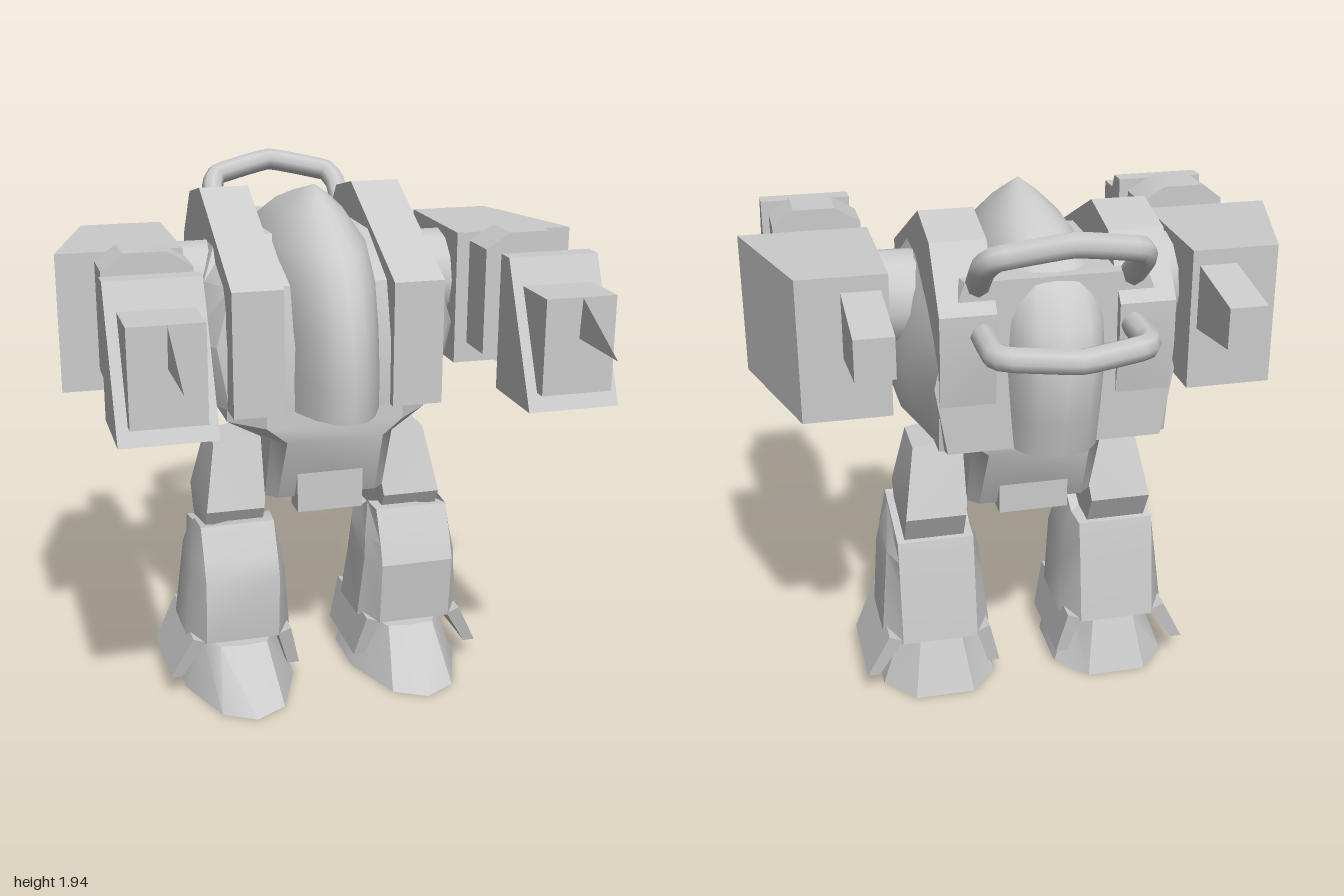
import * as THREE from 'three';
import { toCreasedNormals } from 'three/addons/utils/BufferGeometryUtils.js';

const material = new THREE.MeshStandardMaterial({ color: 0xcccccc });
const thinMaterial = new THREE.MeshStandardMaterial({ color: 0xcccccc, side: THREE.DoubleSide });

// Swap two corners of every triangle of a non-indexed geometry
function flip(pos) {
  for (let i = 0; i < pos.length; i += 9) {
    for (let k = 0; k < 3; k++) [pos[i + 3 + k], pos[i + 6 + k]] = [pos[i + 6 + k], pos[i + 3 + k]];
  }
}

// Closed solid through rings of [x, y, z] points, always facing outwards
function loft(rings, crease = 0.3) {
  const pos = [], n = rings[0].length;
  const tri = (a, b, c) => pos.push(...a, ...b, ...c);
  for (let r = 0; r < rings.length - 1; r++) {
    for (let i = 0; i < n; i++) {
      const j = (i + 1) % n, a = rings[r], b = rings[r + 1];
      tri(a[i], b[i], b[j]);
      tri(a[i], b[j], a[j]);
    }
  }
  const first = rings[0], last = rings[rings.length - 1];
  for (let i = 1; i < n - 1; i++) {
    tri(first[0], first[i], first[i + 1]);
    tri(last[0], last[i + 1], last[i]);
  }
  let volume = 0;
  for (let i = 0; i < pos.length; i += 9) {
    const [a, b, c] = [0, 3, 6].map(o => new THREE.Vector3().fromArray(pos, i + o));
    volume += a.dot(b.cross(c));
  }
  if (volume < 0) flip(pos);
  const geo = new THREE.BufferGeometry();
  geo.setAttribute('position', new THREE.Float32BufferAttribute(pos, 3));
  return toCreasedNormals(geo, crease);
}

function mirrorX(geo) {
  const g = geo.index ? geo.toNonIndexed() : geo.clone();
  g.scale(-1, 1, 1);
  for (const name of ['position', 'normal']) flip(g.attributes[name].array);
  if (geo.index) g.computeVertexNormals();
  return toCreasedNormals(g, 0.6);
}

const box = (x0, x1, y0, y1, z0, z1) =>
  new THREE.BoxGeometry(x1 - x0, y1 - y0, z1 - z0).translate((x0 + x1) / 2, (y0 + y1) / 2, (z0 + z1) / 2);
const rectY = (y, x0, x1, z0, z1) => [[x0, y, z0], [x1, y, z0], [x1, y, z1], [x0, y, z1]];
const rectZ = (z, x0, x1, y0, y1) => [[x0, y0, z], [x1, y0, z], [x1, y1, z], [x0, y1, z]];
// Side profile of [z, y] points stretched between two x positions
const sideProfile = (x0, x1, pts) => loft([x0, x1].map(x => pts.map(([z, y]) => [x, y, z])));

export function createModel() {
  const model = new THREE.Group();
  const add = (name, geo, mat = material) => {
    const mesh = new THREE.Mesh(geo, mat);
    mesh.name = name;
    model.add(mesh);
  };
  const addPair = (name, geo, mat = material) => {
    add(name + 'Left', geo, mat);
    add(name + 'Right', mirrorX(geo), mat);
  };

  // Central pod: [y, half width, front z, back z], pointed nose, full rear
  const podLevels = [
    [1.155, 0.21, 0.41, -0.76], [1.28, 0.21, 0.42, -0.79], [1.45, 0.21, 0.4, -0.82], [1.6, 0.21, 0.34, -0.78],
    [1.72, 0.185, 0.24, -0.67], [1.82, 0.115, 0.07, -0.45], [1.87, 0.06, -0.03, -0.28], [1.91, 0.003, -0.105, -0.115],
  ];
  add('pod', loft(podLevels.map(([y, w, zf, zb]) => {
    const mid = zb + (zf - zb) * 0.47;
    return Array.from({ length: 24 }, (_, i) => {
      const a = (i / 24) * Math.PI * 2, c = Math.cos(a);
      const half = Math.pow(Math.abs(Math.sin(a)), c > 0 ? 1.0 : 0.7);
      return [Math.sign(Math.sin(a)) * w * half, y, mid + (c > 0 ? (zf - mid) : (mid - zb)) * c];
    });
  }), 0.9));

  // Bulging hull behind the shoulder bands: [y, width factor, front limit]
  const plan = [[0.26, 0.2], [0.42, 0.13], [0.5, 0], [0.5, -0.25], [0.46, -0.4], [0.4, -0.66]];
  const hullRing = [...plan, ...plan.map(([x, z]) => [-x, z]).reverse()];
  add('hull', loft([[1.155, 0.9, 0.2], [1.39, 1, 0.2], [1.6, 0.87, 0.14], [1.74, 0.74, -0.1]].map(
    ([y, f, zMax]) => hullRing.map(([x, z]) => [x * f, y, Math.min(z, zMax)])), 0.6));

  // Raised shoulder bands
  addPair('shoulderBand', sideProfile(0.2, 0.385, [
    [0.235, 1.155], [0.235, 1.61], [-0.325, 1.88], [-0.53, 1.835], [-0.69, 1.64], [-0.69, 1.49], [-0.63, 1.155]]));

  // Rear handles
  const handle = half => {
    const pts = [...half, ...half.slice(0, -1).reverse().map(([x, y, z]) => [-x, y, z])];
    const curve = new THREE.CatmullRomCurve3(pts.map(p => new THREE.Vector3(...p)), false, 'catmullrom', 0.15);
    return new THREE.TubeGeometry(curve, 32, 0.042, 8);
  };
  add('upperHandle', handle([[0.25, 1.66, -0.56], [0.255, 1.81, -0.74], [0.225, 1.855, -0.79], [0, 1.9, -0.845]]));
  add('lowerHandle', handle([[0.245, 1.57, -0.58], [0.245, 1.57, -0.84], [0.215, 1.57, -0.89], [0, 1.57, -0.957]]));

  // Pelvis, an eight-sided waist narrowing to a block
  const pelvisRing = (y, w, z0, z1, cut) => [
    [w - cut, y, z1], [w, y, z1 - cut], [w, y, z0 + cut], [w - cut, y, z0],
    [cut - w, y, z0], [-w, y, z0 + cut], [-w, y, z1 - cut], [cut - w, y, z1]];
  add('pelvis', loft([
    pelvisRing(1.17, 0.375, -0.45, 0.18, 0.12), pelvisRing(1.09, 0.375, -0.45, 0.18, 0.12),
    pelvisRing(1.03, 0.23, -0.45, 0.18, 0.05), pelvisRing(0.775, 0.23, -0.32, 0.06, 0.04)], 0.5));
  const flap = new THREE.Shape([[-0.125, 0.73], [0.125, 0.73], [0.125, 0.93], [0, 0.9], [-0.125, 0.93]]
    .map(p => new THREE.Vector2(...p)));
  const flapGeo = new THREE.ExtrudeGeometry(flap, { depth: 0.1, bevelEnabled: false });
  add('frontFlap', flapGeo.translate(0, 0, 0.01));
  add('rearFlap', box(-0.125, 0.125, 0.755, 0.92, -0.365, -0.27));

  // Thighs
  addPair('thigh', loft([
    [[0.2, 1.01, -0.22], [0.41, 0.975, -0.22], [0.41, 0.975, -0.04], [0.2, 1.01, -0.04]],
    rectY(0.73, 0.235, 0.455, -0.31, 0.035), rectY(0.62, 0.235, 0.455, -0.25, -0.03)]));

  // Shins: [front y, back y, front z, back z, inner half width, bulge half width]
  const shinX = 0.342;
  const shinLevels = [
    [0.68, 0.615, 0.045, -0.265, 0.14, 0.145], [0.56, 0.54, 0.105, -0.28, 0.14, 0.172],
    [0.48, 0.44, 0.135, -0.295, 0.14, 0.182], [0.23, 0.22, 0.11, -0.325, 0.14, 0.203]];
  addPair('shin', loft(shinLevels.map(([yf, yb, zf, zb, h, w]) => [
    [h, yf, zf], [w, yf, zf - 0.1], [w, yb, zb + 0.1], [h, yb, zb],
    [-h, yb, zb], [-w, yb, zb + 0.1], [-w, yf, zf - 0.1], [-h, yf, zf]].map(([x, y, z]) => [x + shinX, y, z])), 0.3));

  // Flared ankle guards on both sides of each shin
  for (const [name, s, reach] of [['outerAnkleGuard', 1, 0.275], ['innerAnkleGuard', -1, 0.23]]) {
    const ends = [[0.1, 0.06], [-0.315, -0.295]];
    addPair(name, loft(ends.map(([zTop, zLow]) => [
      [0.19, 0.25, zTop], [reach, 0.08, zLow], [reach - 0.045, 0.08, zLow], [0.14, 0.23, zTop],
    ].map(([x, y, z]) => [shinX + s * x, y, z]))));
  }

  // Feet
  const sole = [[0, 0.318], [0.12, 0.25], [0.215, 0.0], [0.215, -0.24], [0.11, -0.365]];
  const ankle = [[0, 0.1], [0.09, 0.09], [0.14, -0.02], [0.14, -0.2], [0.08, -0.3]];
  const footRing = (half, y) => [...half, ...half.slice(1).reverse().map(([x, z]) => [-x, z])]
    .map(([x, z]) => [x + 0.335, y, z]);
  addPair('foot', loft([footRing(sole, 0), footRing(ankle, 0.2)], 0.5));

  // Shoulder joints and tapered shoulder pods
  addPair('shoulderJoint', toCreasedNormals(
    new THREE.CylinderGeometry(0.17, 0.17, 0.2, 12).rotateZ(Math.PI / 2).translate(0.42, 1.54, -0.2), 0.6));
  addPair('shoulderPod', loft([rectZ(0.015, 0.51, 0.955, 1.235, 1.73), rectZ(-0.49, 0.51, 0.81, 1.235, 1.73)]));
  addPair('exhaust', loft([rectZ(-0.47, 0.535, 0.665, 1.45, 1.68), rectZ(-0.78, 0.535, 0.665, 1.49, 1.63)]));

  // Forearms
  addPair('upperForearm', box(0.575, 0.81, 1.36, 1.66, 0, 0.13));
  const cuff = z => [[0.61, 1.775], [0.755, 1.775], [0.83, 1.72], [0.83, 1.34], [0.755, 1.29],
    [0.61, 1.29], [0.52, 1.34], [0.52, 1.72]].map(([x, y]) => [x, y, z]);
  addPair('forearmCuff', loft([cuff(0.115), cuff(0.28)]));
  addPair('wrist', box(0.61, 0.78, 1.34, 1.63, 0.27, 0.42));

  // Hand wedge, muzzle block and blade
  addPair('hand', sideProfile(0.525, 0.85, [[0.405, 1.25], [0.705, 1.25], [0.475, 1.73], [0.405, 1.73]]));
  addPair('muzzle', box(0.562, 0.812, 1.31, 1.64, 0.48, 0.718));
  const blade = new THREE.BufferGeometry().setAttribute('position', new THREE.Float32BufferAttribute(
    [0.685, 1.5, 0.715, 0.685, 1.64, 0.73, 0.685, 1.5, 1], 3));
  blade.computeVertexNormals();
  addPair('blade', blade, thinMaterial);

  return model;
}
